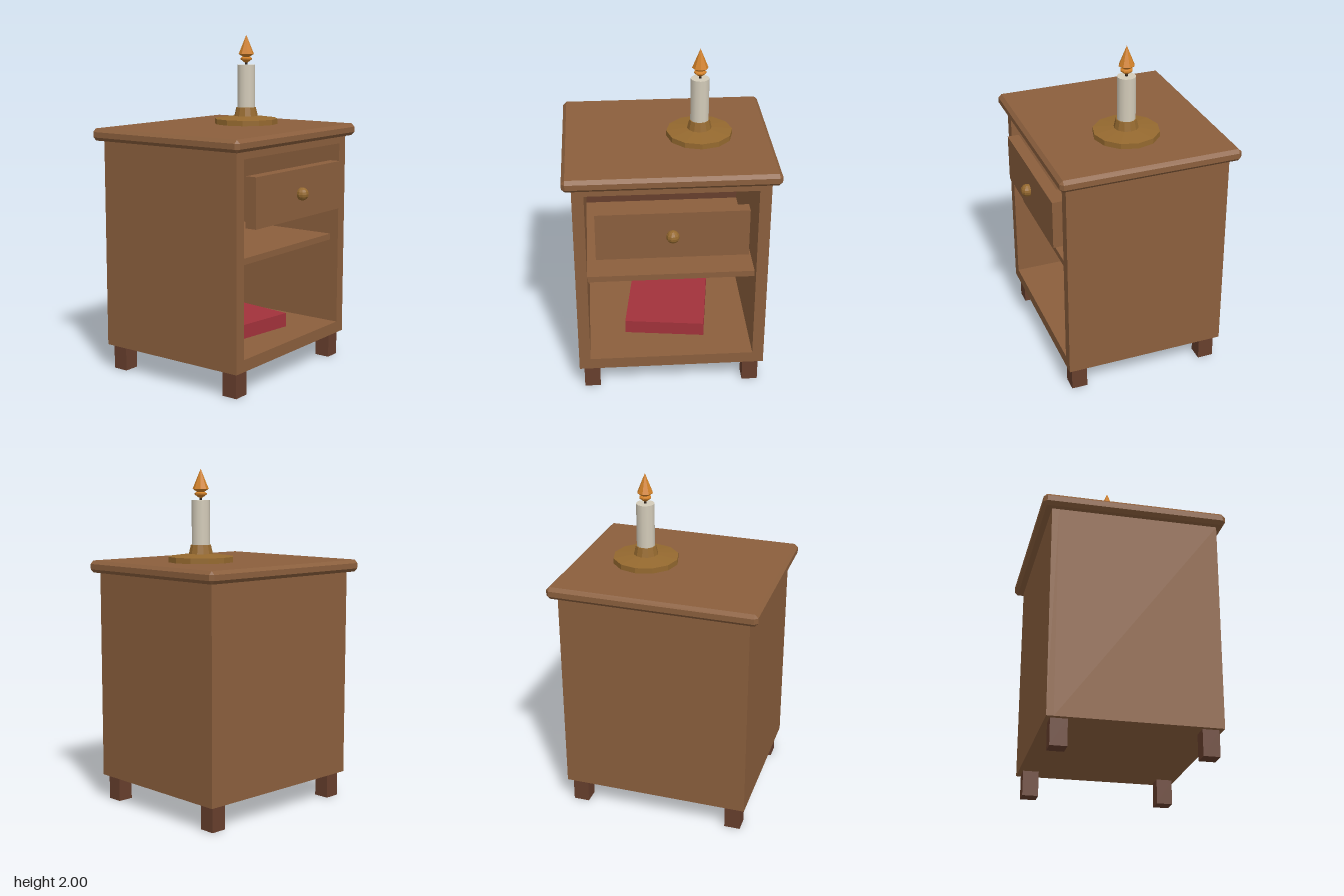
import * as THREE from 'three';
import { ConvexGeometry } from 'three/addons/geometries/ConvexGeometry.js';

const material = (name, color, extra = {}) => {
  const m = new THREE.MeshStandardMaterial({ color, ...extra });
  m.name = name;
  return m;
};

export function createModel() {
  const wood = material('wood', 0x8b5f3d);
  const darkWood = material('dark wood', 0x673f2d);
  const brass = material('brass', 0x95692f);
  const wax = material('wax', 0xd3cbb9);
  const flameOrange = material('flame orange', 0xd08028);
  const wickBlack = material('wick', 0x2e241e);
  const bookRed = material('book red', 0xa2323b);
  const model = new THREE.Group();
  model.name = 'nightstand';

  const add = (name, geometry, mat, x = 0, y = 0, z = 0, parent = model) => {
    const mesh = new THREE.Mesh(geometry, mat);
    mesh.name = name;
    mesh.position.set(x, y, z);
    parent.add(mesh);
    return mesh;
  };
  // Box given by its lower and upper limits
  const box = (name, mat, [x0, x1], [y0, y1], [z0, z1]) =>
    add(name, new THREE.BoxGeometry(x1 - x0, y1 - y0, z1 - z0), mat,
      (x0 + x1) / 2, (y0 + y1) / 2, (z0 + z1) / 2);
  // Faceted turned part
  const turned = (points, sides) => new THREE.LatheGeometry(
    points.map(([r, y]) => new THREE.Vector2(r, y)), sides).toNonIndexed();
  const flat = (geometry) => { geometry.computeVertexNormals(); return geometry; };

  // Cabinet shell: rectangular tube closed at the back
  const rectangle = (Type, x, y0, y1) => new Type([[-x, y0], [x, y0], [x, y1], [-x, y1]]
    .map(([px, py]) => new THREE.Vector2(px, py)));
  const outline = rectangle(THREE.Shape, 0.558, 0.15, 1.39);
  outline.holes.push(rectangle(THREE.Path, 0.49, 0.22, 1.345));
  add('cabinetShell', new THREE.ExtrudeGeometry(outline, { depth: 0.93, bevelEnabled: false }),
    wood, 0, 0, -0.465);
  box('cabinetBack', wood, [-0.558, 0.558], [0.15, 1.39], [-0.505, -0.465]);
  box('innerBackPanel', darkWood, [-0.49, 0.49], [0.22, 1.345], [-0.465, -0.46]);
  box('shelf', wood, [-0.49, 0.49], [0.74, 0.777], [-0.46, 0.41]);

  // Chamfered table top
  const chamfer = 0.02, half = [0.61, 0.036, 0.535], corners = [];
  for (const sx of [-1, 1]) for (const sy of [-1, 1]) for (const sz of [-1, 1])
    for (let axis = 0; axis < 3; axis++) {
      const p = half.map((h, i) => (i === axis ? h : h - chamfer));
      corners.push(new THREE.Vector3(sx * p[0], sy * p[1], sz * p[2]));
    }
  add('tableTop', new ConvexGeometry(corners), wood, 0, 1.426, -0.025);

  // Legs
  for (const x of [-0.4825, 0.4825]) for (const z of [-0.4325, 0.395])
    add('leg', new THREE.BoxGeometry(0.095, 0.15, 0.095), darkWood, x, 0.075, z);

  // Drawer front and knob
  box('drawerFront', wood, [-0.435, 0.435], [0.955, 1.245], [0.435, 0.505]);
  add('drawerKnob', flat(new THREE.SphereGeometry(0.038, 10, 8).toNonIndexed()),
    brass, 0, 1.1, 0.52);

  // Book lying askew in the lower compartment
  add('book', new THREE.BoxGeometry(0.485, 0.085, 0.545), bookRed, 0.005, 0.2625, -0.03)
    .rotation.y = -0.13;

  // Candle in its holder
  const candle = new THREE.Group();
  candle.name = 'candlestick';
  candle.position.set(0.194, 0, -0.025);
  model.add(candle);
  add('holderDish', flat(turned([[0, 1.46], [0.194, 1.46], [0.194, 1.494], [0.07, 1.51],
    [0, 1.51]], 12)), brass, 0, 0, 0, candle);
  add('holderCup', flat(new THREE.CylinderGeometry(0.06, 0.074, 0.06, 12).toNonIndexed()),
    brass, 0, 1.532, 0, candle);
  add('candleStick', new THREE.CylinderGeometry(0.054, 0.054, 0.26, 12), wax, 0, 1.69, 0, candle);
  add('wick', new THREE.CylinderGeometry(0.008, 0.008, 0.04, 6), wickBlack, 0, 1.835, 0, candle);
  add('flame', flat(turned([[0, 1.83], [0.012, 1.835], [0.036, 1.853], [0.036, 1.86],
    [0.022, 1.868], [0.047, 1.885], [0, 2]], 8)), flameOrange, 0, 0, 0, candle);

  return model;
}
